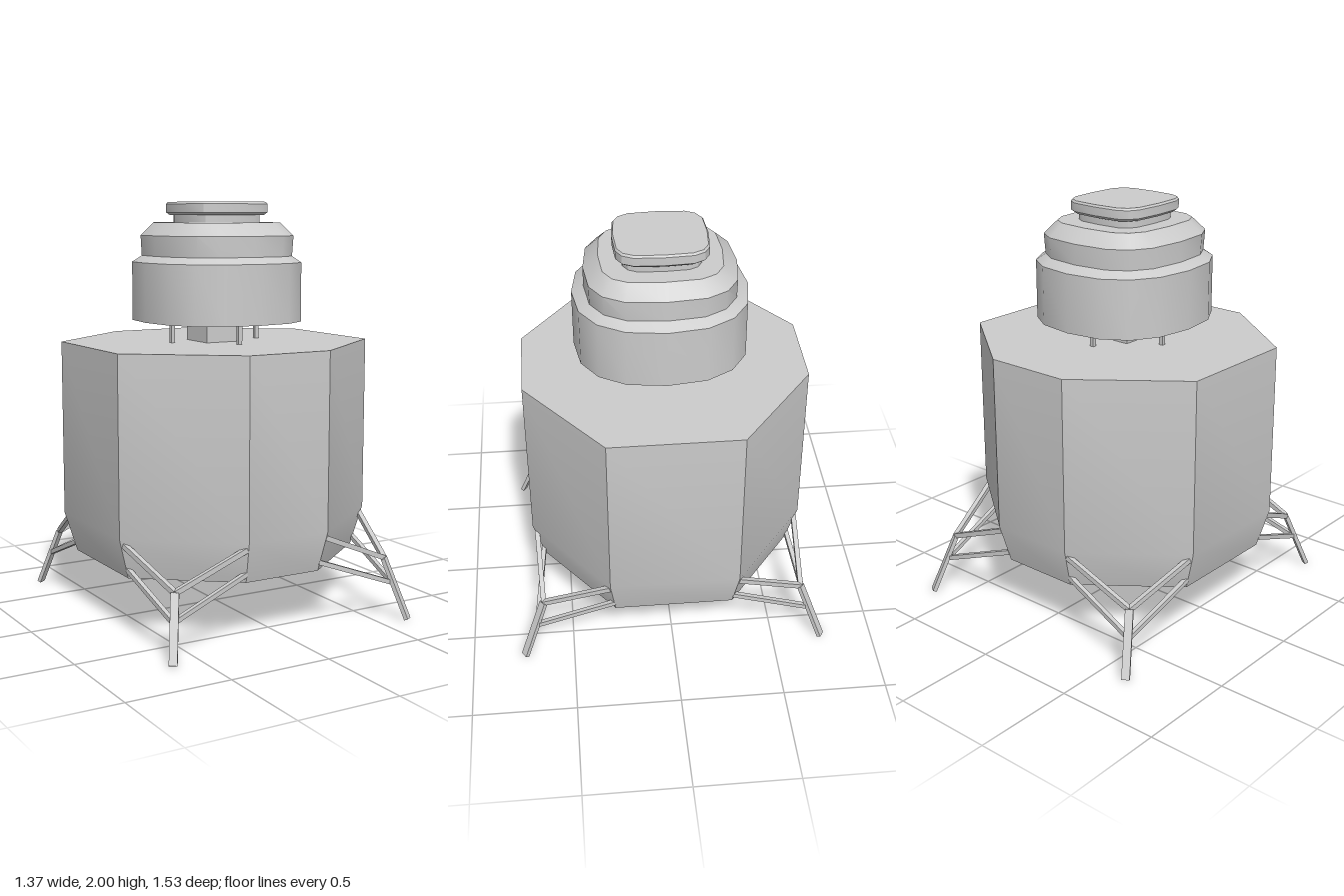
import * as THREE from 'three';
import { toCreasedNormals } from 'three/addons/utils/BufferGeometryUtils.js';

const grey = new THREE.MeshStandardMaterial({ color: 0xcccccc });

function add(parent, name, geometry) {
  const mesh = new THREE.Mesh(geometry, grey);
  mesh.name = name;
  parent.add(mesh);
  return mesh;
}

// Closed solid through a stack of [y, outline] sections; outlines run from +x towards +z
function loft(sections) {
  const pos = [];
  const n = sections[0][1].length;
  const at = (s, i) => {
    const [y, ring] = sections[s];
    const [x, z] = ring[i % n];
    return [x, y, z];
  };
  const centre = (s) => {
    const ring = sections[s][1];
    const mean = (k) => ring.reduce((sum, p) => sum + p[k], 0) / n;
    return [mean(0), sections[s][0], mean(1)];
  };
  const top = sections.length - 1;
  for (let i = 0; i < n; i++) {
    for (let s = 0; s < top; s++) {
      const a = at(s, i), b = at(s + 1, i), c = at(s + 1, i + 1), d = at(s, i + 1);
      pos.push(...a, ...b, ...c, ...a, ...c, ...d);
    }
    pos.push(...centre(0), ...at(0, i), ...at(0, i + 1));
    pos.push(...centre(top), ...at(top, i + 1), ...at(top, i));
  }
  const geometry = new THREE.BufferGeometry();
  geometry.setAttribute('position', new THREE.Float32BufferAttribute(pos, 3));
  return toCreasedNormals(geometry, 0.5);
}

// Long-sided octagon of the main body
function octagon(k) {
  const quarter = [[0.685, 0.312], [0.215, 0.676]];
  const ring = [
    ...quarter,
    ...quarter.map(([x, z]) => [-x, z]).reverse(),
    ...quarter.map(([x, z]) => [-x, -z]),
    ...quarter.map(([x, z]) => [x, -z]).reverse(),
  ];
  return ring.map(([x, z]) => [x * k, z * k]);
}

// Rounded-square outline with 16 points; higher power is squarer
function roundedSquare(rx, rz, power) {
  const ring = [];
  const bend = (v) => Math.sign(v) * Math.pow(Math.abs(v), 2 / power);
  for (let i = 0; i < 16; i++) {
    const a = (i / 16) * Math.PI * 2;
    ring.push([rx * bend(Math.cos(a)), 0.01 + rz * bend(Math.sin(a))]);
  }
  return ring;
}

// Square bar between two points; its width stays level, its depth faces outwards
function bar(parent, name, from, to, width, depth) {
  const a = new THREE.Vector3(...from), b = new THREE.Vector3(...to);
  const along = b.clone().sub(a);
  const mesh = add(parent, name, new THREE.BoxGeometry(width, along.length(), depth));
  const y = along.clone().normalize();
  const x = new THREE.Vector3(0, 1, 0).cross(y).normalize();
  const z = x.clone().cross(y);
  mesh.quaternion.setFromRotationMatrix(new THREE.Matrix4().makeBasis(x, y, z));
  mesh.position.copy(a).add(b).multiplyScalar(0.5);
}

function createModel() {
  const model = new THREE.Group();
  model.name = 'lander';

  // Main body with tapered underside
  add(model, 'body', loft([
    [0.28, octagon(0.92)],
    [0.475, octagon(1)],
    [1.327, octagon(1)],
  ]));

  // Central column and four thin posts carrying the upper stage
  add(model, 'centreColumn', new THREE.BoxGeometry(0.195, 0.14, 0.2)).position.set(-0.007, 1.38, 0);
  for (const [x, z] of [[0.235, 0], [-0.24, 0], [-0.004, 0.237], [-0.004, -0.23]]) {
    add(model, 'supportPost', new THREE.BoxGeometry(0.02, 0.14, 0.02)).position.set(x, 1.38, z);
  }

  // Stepped upper stage
  add(model, 'upperStage', loft([
    [1.43, roundedSquare(0.39, 0.412, 2.4)],
    [1.713, roundedSquare(0.39, 0.412, 2.4)],
    [1.743, roundedSquare(0.337, 0.355, 2.7)],
    [1.84, roundedSquare(0.337, 0.355, 2.9)],
    [1.902, roundedSquare(0.27, 0.285, 3.4)],
  ]));

  // Hatch neck and cap
  add(model, 'hatchNeck', loft([
    [1.89, roundedSquare(0.178, 0.187, 4)],
    [1.945, roundedSquare(0.178, 0.187, 4)],
  ]));
  add(model, 'hatchCap', loft([
    [1.937, roundedSquare(0.195, 0.205, 4)],
    [1.95, roundedSquare(0.21, 0.22, 4)],
    [1.99, roundedSquare(0.21, 0.22, 4)],
    [2, roundedSquare(0.203, 0.213, 4)],
  ]));

  // Four legs: a flat strut and two pairs of braces to the body edges
  for (const sx of [1, -1]) {
    for (const sz of [1, -1]) {
      const leg = new THREE.Group();
      leg.name = 'landingLeg';
      const p = (x, y, z) => [x * sx, y, z * sz];
      const joint = p(0.575, 0.295, 0.638);
      const knee = p(0.603, 0.175, 0.675);
      bar(leg, 'legStrut', p(0.643, 0.005, 0.745), joint, 0.038, 0.02);
      bar(leg, 'upperBrace', joint, p(0.215, 0.445, 0.655), 0.024, 0.024);
      bar(leg, 'upperBrace', joint, p(0.66, 0.445, 0.312), 0.024, 0.024);
      bar(leg, 'lowerBrace', knee, p(0.2, 0.322, 0.625), 0.022, 0.022);
      bar(leg, 'lowerBrace', knee, p(0.632, 0.322, 0.29), 0.022, 0.022);
      model.add(leg);
    }
  }

  return model;
}

export { createModel };
